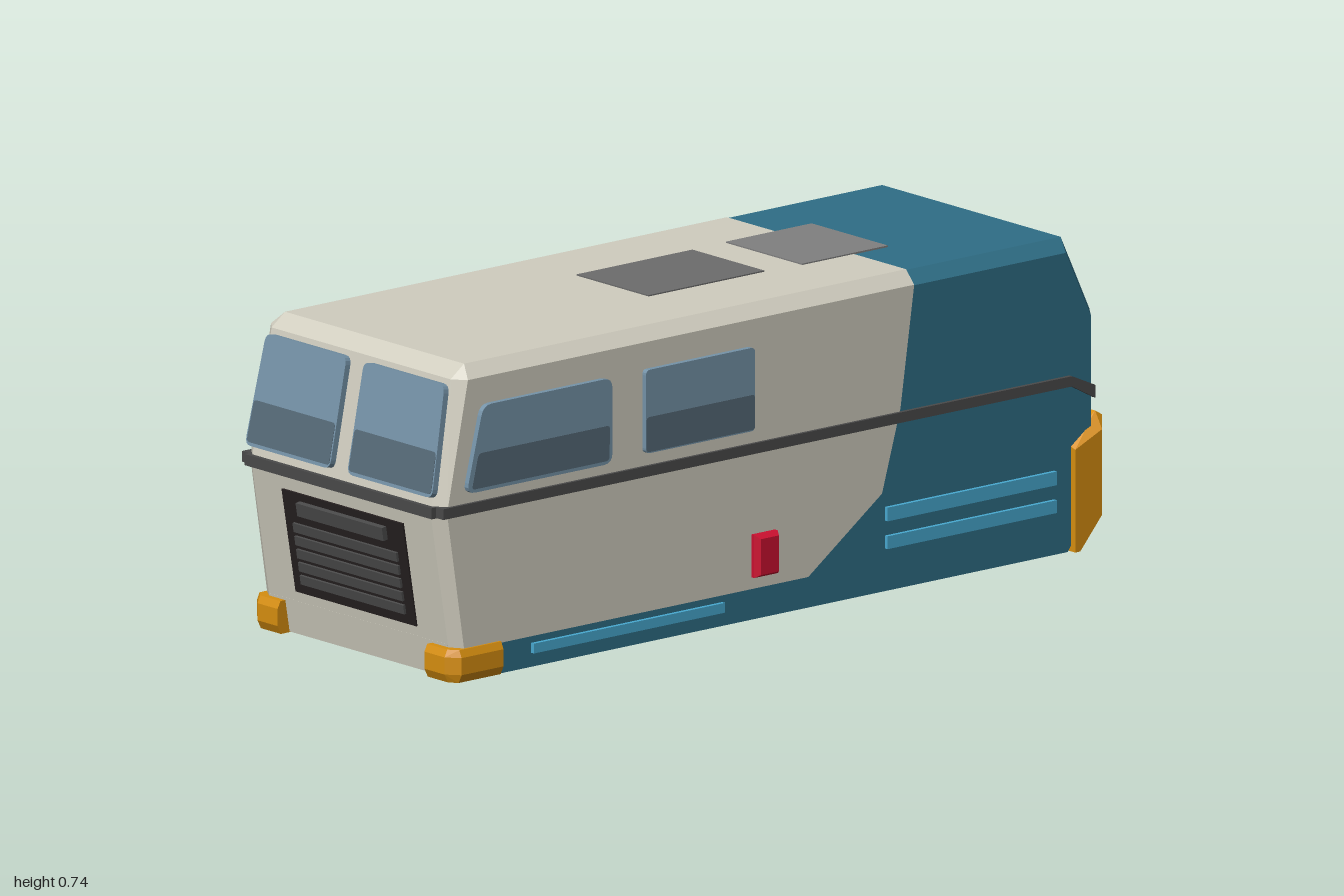
import * as THREE from 'three';
import { ConvexGeometry } from 'three/addons/geometries/ConvexGeometry.js';

const mat = (color) => new THREE.MeshStandardMaterial({ color, flatShading: true });
const M = {
  blue: mat(0x2f6e86), cream: mat(0xd0cdbf), glass: mat(0x7593a8), glassLow: mat(0x566a78),
  screen: mat(0x647782), dark: mat(0x4a4a4a), black: mat(0x262020), orange: mat(0xd68e10),
  red: mat(0xcc1030), light: mat(0x48a9d0), hatchDark: mat(0x6c6c6c), hatchLight: mat(0x808080),
};

function add(parent, name, geometry, material) {
  const mesh = new THREE.Mesh(geometry, material);
  mesh.name = name;
  parent.add(mesh);
  return mesh;
}

// Convex solid from [x, y, halfWidth] points mirrored across z
function symmetricHull(points) {
  return new ConvexGeometry(points.flatMap(([x, y, z]) =>
    [new THREE.Vector3(x, y, z), new THREE.Vector3(x, y, -z)]));
}
const hull = (points) => new ConvexGeometry(points.map((p) => new THREE.Vector3(...p)));

// Polygon plate with corners rounded by r
function plate(points, depth, r = 0) {
  const pts = points.map((p) => new THREE.Vector2(...p));
  const shape = new THREE.Shape();
  pts.forEach((p, i) => {
    const prev = pts[(i + pts.length - 1) % pts.length];
    const next = pts[(i + 1) % pts.length];
    const a = p.clone().add(prev.clone().sub(p).setLength(r));
    const b = p.clone().add(next.clone().sub(p).setLength(r));
    if (i === 0) shape.moveTo(a.x, a.y); else shape.lineTo(a.x, a.y);
    if (r > 0) shape.quadraticCurveTo(p.x, p.y, b.x, b.y);
  });
  shape.closePath();
  return new THREE.ExtrudeGeometry(shape, { depth, bevelEnabled: false, curveSegments: 4 });
}
const rect = (x0, x1, y0, y1) => [[x0, y0], [x1, y0], [x1, y1], [x0, y1]];

// Lays a plate on an end wall running from (x0, y0) up to (x1, y1); dir is +1 nose, -1 tail
function onEnd(geometry, dir, [x0, y0], [x1, y1]) {
  const v = new THREE.Vector3(x1 - x0, y1 - y0, 0).normalize();
  const u = new THREE.Vector3(0, 0, -dir);
  const w = u.clone().cross(v);
  const m = new THREE.Matrix4().makeBasis(u, v, w).setPosition(x0, y0, 0);
  return geometry.applyMatrix4(m);
}

function buildSide() {
  const side = new THREE.Group();
  const put = (name, points, z, depth, material, r) =>
    add(side, name, plate(points, depth, r).translate(0, 0, z), material);

  // Windows with a darker lower half
  put('rearSideWindow', [[-0.92, 0.44], [-0.485, 0.44], [-0.485, 0.64], [-0.87, 0.64]], 0.335, 0.02, M.glass, 0.025);
  put('rearSideWindowLower', [[-0.905, 0.448], [-0.495, 0.448], [-0.493, 0.53], [-0.885, 0.53]], 0.35, 0.006, M.glassLow, 0.01);
  put('middleSideWindow', rect(-0.385, -0.06, 0.445, 0.64), 0.335, 0.02, M.glass, 0.012);
  put('middleSideWindowLower', rect(-0.384, -0.061, 0.448, 0.53), 0.35, 0.006, M.glassLow, 0.008);

  // Belt line, dipping at the nose
  put('beltStrip', [[-0.985, 0.39], [0.89, 0.388], [0.96, 0.35], [0.96, 0.38], [0.89, 0.412], [-0.985, 0.415]], 0.325, 0.025, M.dark);

  // Pale trim bars
  [[0.34, 0.845, 0.165, 0.197], [0.34, 0.845, 0.1, 0.13], [-0.715, -0.145, 0.033, 0.056]]
    .forEach((b) => put('trimBar', rect(...b), 0.33, 0.02, M.light));

  // Red marker lamp, tapered outward
  const lamp = [];
  for (const [z, e] of [[0.335, 0], [0.352, 0], [0.366, 0.008]])
    for (const x of [-0.06 + e, 0.01 - e]) for (const y of [0.1 + e, 0.2 - e]) lamp.push([x, y, z]);
  add(side, 'markerLamp', hull(lamp), M.red);

  // Tall nose corner guard
  const guard = [[0.895, 0, 0.355], [0.895, 0.24, 0.355], [0.975, 0.275, 0.355], [0.975, 0.075, 0.355], [0.91, 0, 0.355]];
  for (const z of [0.277, 0.325])
    guard.push([0.895, 0, z], [0.895, 0.25, z], [0.98, 0.312, z], [1, 0.3, z], [1, 0.075, z], [0.925, 0, z]);
  add(side, 'noseCornerGuard', hull(guard), M.orange);

  // Low tail corner guard
  const tail = [];
  for (const [y, e] of [[0, 0.01], [0.02, 0], [0.06, 0], [0.077, 0.008]])
    tail.push([-0.81, y, 0.355 - e], [-0.935, y, 0.355 - e], [-0.96 + e, y, 0.325], [-0.96 + e, y, 0.255], [-0.81, y, 0.255]);
  add(side, 'tailCornerGuard', hull(tail), M.orange);
  return side;
}

export function createModel() {
  const model = new THREE.Group();
  model.name = 'vehicle';

  // Chamfered blue shell
  add(model, 'shell', symmetricHull([
    [-0.885, 0.73, 0.31], [0.89, 0.73, 0.31], [-0.9, 0.7, 0.34], [0.88, 0.7, 0.34],
    [0.975, 0.55, 0.31], [0.955, 0.54, 0.34], [0.975, 0.085, 0.31], [0.955, 0.09, 0.34],
    [0.9, 0, 0.31], [0.885, 0, 0.34],
    [-0.925, 0.7, 0.31], [-0.985, 0.4, 0.31], [-0.963, 0.4, 0.34], [-0.92, 0, 0.31], [-0.9, 0, 0.34],
  ]), M.blue);

  // Cream rear bodywork with its stepped edge
  add(model, 'creamBody', symmetricHull([
    [-0.89, 0.732, 0.311], [0.428, 0.732, 0.311], [-0.905, 0.702, 0.342], [0.426, 0.702, 0.342],
    [0.385, 0.42, 0.342], [0.33, 0.23, 0.342], [0.11, 0.072, 0.342],
    [-0.93, 0.702, 0.311], [-0.99, 0.4, 0.311], [-0.967, 0.4, 0.342], [-0.936, 0.072, 0.311], [-0.916, 0.072, 0.342],
  ]), M.cream);

  // Both sides
  const left = buildSide();
  left.name = 'frontSide';
  const right = buildSide();
  right.name = 'backSide';
  right.scale.z = -1;
  model.add(left, right);

  // Nose: windscreen, grille, lamp
  const slope = [[0.975, 0.55], [0.89, 0.73]];
  add(model, 'windscreenFrame', onEnd(plate(rect(-0.22, 0.22, 0.032, 0.166), 0.014), 1, ...slope), M.dark);
  add(model, 'windscreen', onEnd(plate(rect(-0.22, 0.22, 0.036, 0.166), 0.017), 1, ...slope), M.screen);
  const nose = [[0.97, 0], [0.97, 1]];
  add(model, 'grille', onEnd(plate(rect(-0.203, 0.203, 0.19, 0.525), 0.009), 1, ...nose), M.black);
  add(model, 'noseLamp', onEnd(plate([[-0.08, 0.114], [0.08, 0.114], [0.07, 0.14], [-0.07, 0.14]], 0.018), 1, ...nose), M.light);

  // Tail: split windows and belt
  const upper = [[-0.99, 0.4], [-0.93, 0.702]];
  for (const s of [-1, 1]) {
    const quad = (z0, z1, y0, y1, top) => {
      const p = [[z0, y0], [z1, y0], [z1 - top, y1], [z0, y1]];
      return s > 0 ? p : p.map(([z, y]) => [-z, y]).reverse();
    };
    add(model, 'tailWindow', onEnd(plate(quad(0.03, 0.325, 0.035, 0.295, 0.015), 0.015, 0.02), -1, ...upper), M.glass);
    add(model, 'tailWindowLower', onEnd(plate(quad(0.034, 0.32, 0.043, 0.14, 0.004), 0.016, 0.01), -1, ...upper), M.glassLow);
  }
  add(model, 'tailBelt', new THREE.BoxGeometry(0.025, 0.026, 0.65).translate(-0.986, 0.402, 0), M.dark);

  // Tail: lower wall, slatted grille and handle bar
  const lower = [[-0.922, 0], [-0.99, 0.4]];
  add(model, 'tailSill', onEnd(plate(rect(-0.31, 0.31, 0.002, 0.085), 0.002), -1, ...lower), M.cream);
  add(model, 'tailGrille', onEnd(plate(rect(-0.21, 0.21, 0.11, 0.36), 0.005), -1, ...lower), M.black);
  for (let i = 0; i < 5; i++) {
    const y = 0.135 + i * 0.032;
    add(model, 'tailSlat', onEnd(plate(rect(-0.18, 0.18, y, y + 0.022), 0.011), -1, ...lower), M.dark);
  }
  add(model, 'tailBar', onEnd(plate(rect(-0.15, 0.15, 0.31, 0.342), 0.018), -1, ...lower), M.dark);

  // Roof hatches
  add(model, 'rearRoofHatch', new THREE.BoxGeometry(0.345, 0.004, 0.25).translate(-0.003, 0.733, -0.005), M.hatchDark);
  add(model, 'frontRoofHatch', new THREE.BoxGeometry(0.255, 0.004, 0.265).translate(0.402, 0.733, -0.003), M.hatchLight);
  return model;
}
